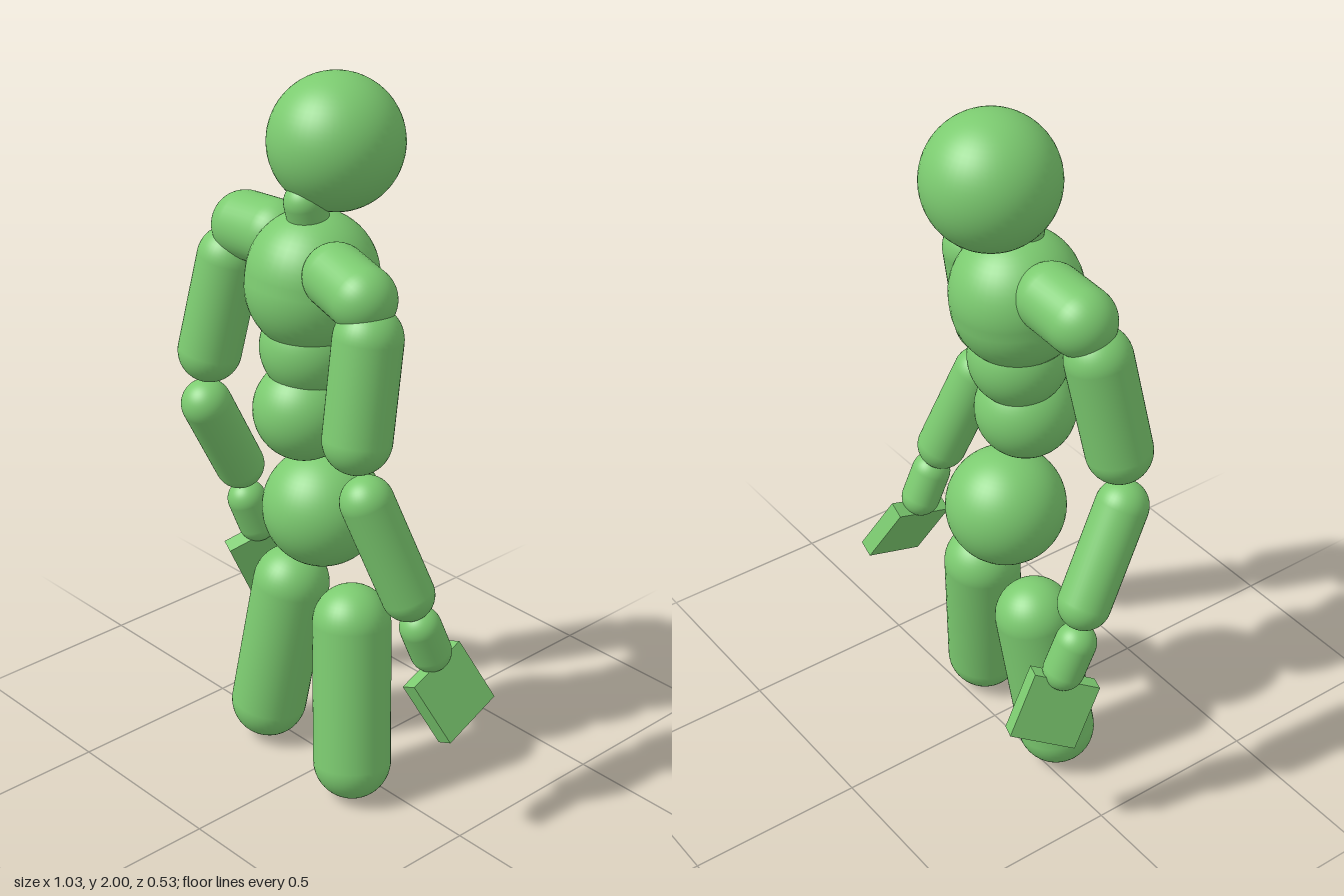
import * as THREE from 'three';

const green = new THREE.MeshStandardMaterial({ color: 0x7ccb70 });
const V = (p) => new THREE.Vector3(...p);

export function createModel() {
  const group = new THREE.Group();
  const add = (name, geometry) => {
    const mesh = new THREE.Mesh(geometry, green);
    mesh.name = name;
    group.add(mesh);
    return mesh;
  };

  const ball = (name, p, r) =>
    add(name, new THREE.SphereGeometry(r, 48, 32)).position.set(...p);

  // Rounded limb between the centres of its two end caps
  const limb = (name, a, b, r) => {
    const dir = V(b).sub(V(a));
    const mesh = add(name, new THREE.CapsuleGeometry(r, dir.length(), 14, 40));
    mesh.position.copy(V(a)).addScaledVector(dir, 0.5);
    mesh.quaternion.setFromUnitVectors(new THREE.Vector3(0, 1, 0), dir.normalize());
  };

  // Flat square hand: centre of its fingertip edge, edge direction and thickness direction
  const hand = (name, tip, edge, thick) => {
    const z = V(edge).normalize();
    const x = V(thick);
    x.addScaledVector(z, -x.dot(z)).normalize();
    const y = z.clone().cross(x);
    if (y.y < 0) { y.negate(); x.negate(); }
    const mesh = add(name, new THREE.BoxGeometry(0.05, 0.19, 0.19));
    mesh.quaternion.setFromRotationMatrix(new THREE.Matrix4().makeBasis(x, y, z));
    mesh.position.copy(V(tip)).addScaledVector(y, 0.095);
  };

  // Head and torso
  ball('head', [-0.044, 1.823, -0.044], 0.178);
  limb('neck', [-0.047, 1.685, 0.06], [-0.048, 1.63, 0.045], 0.055);
  limb('chest', [-0.05, 1.481, 0.032], [-0.05, 1.455, 0.036], 0.175);
  ball('waist', [-0.05, 1.285, 0.04], 0.135);
  ball('belly', [-0.049, 1.112, 0.065], 0.137);
  ball('pelvis', [-0.04, 0.808, 0.008], 0.165);

  // Right arm
  limb('rightShoulder', [-0.327, 1.54, 0.02], [-0.21, 1.547, 0.02], 0.092);
  limb('rightUpperArm', [-0.368, 1.442, 0.045], [-0.408, 1.172, 0.088], 0.088);
  limb('rightForearm', [-0.426, 1.006, 0.09], [-0.452, 0.765, -0.045], 0.071);
  limb('rightWrist', [-0.452, 0.645, -0.07], [-0.443, 0.56, -0.1], 0.056);
  hand('rightHand', [-0.445, 0.36, -0.177], [0.08, 0.078, -0.165], [-0.05, 0.01, -0.02]);

  // Left arm
  limb('leftShoulder', [0.234, 1.523, 0.122], [0.11, 1.54, 0.096], 0.087);
  limb('leftUpperArm', [0.262, 1.428, 0.13], [0.272, 1.172, 0.174], 0.09);
  limb('leftForearm', [0.294, 1.0, 0.16], [0.37, 0.735, 0.085], 0.071);
  limb('leftWrist', [0.394, 0.638, 0.06], [0.4, 0.555, 0.027], 0.056);
  hand('leftHand', [0.479, 0.354, -0.035], [-0.015, 0.062, -0.182], [0.047, 0.02, 0.005]);

  // Thighs
  limb('rightLeg', [-0.177, 0.512, 0.004], [-0.23, 0.12, 0.046], 0.108);
  limb('leftLeg', [0.1, 0.512, 0.03], [0.152, 0.113, 0.075], 0.108);

  return group;
}
